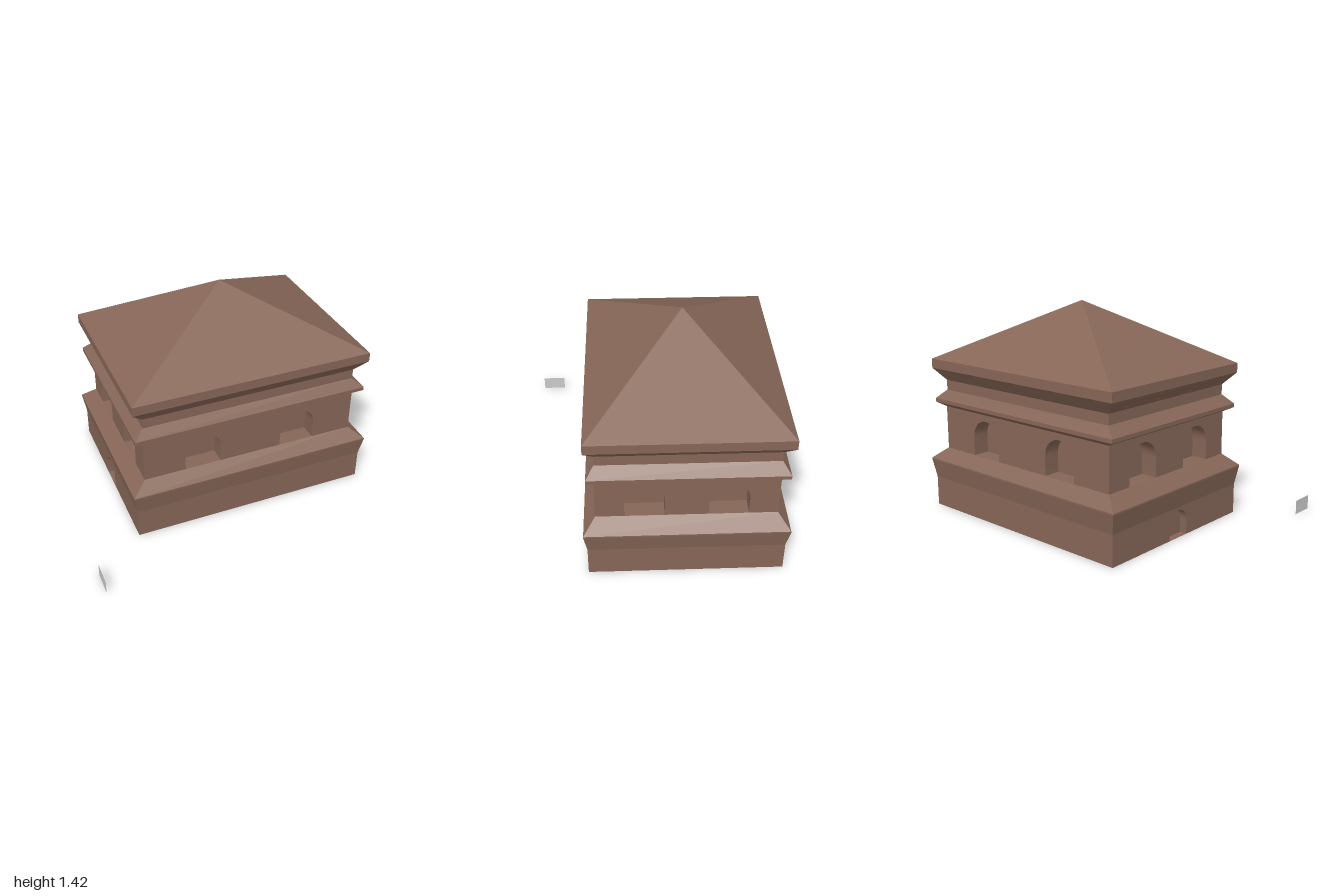
import * as THREE from 'three';
import { toCreasedNormals } from 'three/addons/utils/BufferGeometryUtils.js';

const brown = new THREE.MeshStandardMaterial({ color: 0x866657 });
const grey = new THREE.MeshStandardMaterial({ color: 0xcccccc, side: THREE.DoubleSide });

function named(name, geometry, material = brown) {
  const mesh = new THREE.Mesh(geometry, material);
  mesh.name = name;
  return mesh;
}

// Builds creased geometry from a list of quads (counter-clockwise corners)
function fromQuads(quads) {
  const pos = [];
  for (const [a, b, c, d] of quads) pos.push(...a, ...b, ...c, ...a, ...c, ...d);
  const g = new THREE.BufferGeometry();
  g.setAttribute('position', new THREE.Float32BufferAttribute(pos, 3));
  return toCreasedNormals(g, 0.45);
}

// Rectangular courses lofted through rings of [y, half width, half depth]
function courses(rings) {
  const corner = ([y, hx, hz], i) => [[-hx, y, hz], [hx, y, hz], [hx, y, -hz], [-hx, y, -hz]][i % 4];
  const quads = [];
  for (let r = 0; r + 1 < rings.length; r++) {
    for (let i = 0; i < 4; i++) {
      quads.push([corner(rings[r], i), corner(rings[r], i + 1), corner(rings[r + 1], i + 1), corner(rings[r + 1], i)]);
    }
  }
  const g = fromQuads(quads);
  g.deleteAttribute('normal');
  g.computeVertexNormals(); // flat faces
  return g;
}

// Round-headed opening, counter-clockwise from its bottom right corner
function archPoints(cx, y0, width, height) {
  const r = width / 2, pts = [new THREE.Vector2(cx + r, y0)];
  for (let i = 0; i <= 20; i++) {
    const a = (Math.PI * i) / 20;
    pts.push(new THREE.Vector2(cx + r * Math.cos(a), y0 + height - r + r * Math.sin(a)));
  }
  pts.push(new THREE.Vector2(cx - r, y0));
  return pts;
}

// Wall facing +z with recessed arches standing on its lower edge
function wall(name, halfWidth, y0, y1, arches) {
  const group = new THREE.Group();
  group.name = name;
  const outline = [new THREE.Vector2(-halfWidth, y0)];
  for (const { cx, width, height, depth } of arches) {
    const pts = archPoints(cx, y0, width, height);
    outline.push(...[...pts].reverse());
    // Jambs, arch soffit and sill
    group.add(named('nicheLining', fromQuads(pts.map((p, i) => {
      const q = pts[(i + 1) % pts.length];
      return [[p.x, p.y, 0], [q.x, q.y, 0], [q.x, q.y, -depth], [p.x, p.y, -depth]];
    }))));
    const back = named('nicheBack', new THREE.ShapeGeometry(new THREE.Shape(pts)));
    back.position.z = -depth;
    group.add(back);
  }
  outline.push(new THREE.Vector2(halfWidth, y0), new THREE.Vector2(halfWidth, y1), new THREE.Vector2(-halfWidth, y1));
  group.add(named('wallFace', new THREE.ShapeGeometry(new THREE.Shape(outline))));
  return group;
}

// Four walls around a rectangle; archesFor(k): 0 front, 1 left, 2 back, 3 right
function fourWalls(name, hx, hz, y0, y1, archesFor) {
  const group = new THREE.Group();
  group.name = name;
  for (let k = 0; k < 4; k++) {
    const side = new THREE.Group();
    const panel = wall(name + 'Side', k % 2 ? hz : hx, y0, y1, archesFor(k));
    panel.position.z = k % 2 ? hx : hz;
    side.add(panel);
    side.rotation.y = (k * Math.PI) / 2;
    group.add(side);
  }
  return group;
}

export function createModel() {
  const model = new THREE.Group();
  model.name = 'pavilion';
  const building = new THREE.Group();
  building.name = 'building';
  building.position.set(0.157, 0, -0.19);
  model.add(building);

  // Plinth with a small arched door on one side
  building.add(fourWalls('plinth', 0.815, 0.61, 0, 0.2, (k) =>
    k === 3 ? [{ cx: 0, width: 0.17, height: 0.18, depth: 0.05 }] : []));
  const floor = named('underside', new THREE.PlaneGeometry(1.63, 1.22));
  floor.rotation.x = Math.PI / 2;
  building.add(floor);

  // Flared ledge above the plinth
  building.add(named('ledge', courses([
    [0.2, 0.815, 0.61], [0.325, 0.838, 0.63], [0.335, 0.838, 0.63], [0.41, 0.742, 0.557],
  ])));

  // Storey with a pair of arched niches on each side
  building.add(fourWalls('storey', 0.742, 0.557, 0.41, 0.7, (k) =>
    [-1, 1].map((s) => ({ cx: s * (k % 2 ? 0.257 : 0.338), width: 0.245, height: 0.247, depth: 0.11 }))));

  // String course, frieze and eaves
  building.add(named('cornice', courses([
    [0.7, 0.742, 0.557], [0.73, 0.803, 0.6], [0.755, 0.803, 0.6], [0.815, 0.735, 0.552],
    [0.882, 0.735, 0.552], [0.963, 0.812, 0.61], [1.025, 0.812, 0.61],
  ])));

  // Pyramid roof
  building.add(named('roof', courses([[1.025, 0.812, 0.61], [1.425, 0.0005, 0.0005]])));

  // Small free-standing upright panel
  const panel = named('smallPanel', new THREE.PlaneGeometry(0.16, 0.096), grey);
  panel.rotation.y = Math.PI / 2;
  panel.position.set(-1, 0.048, 0.74);
  model.add(panel);

  return model;
}
